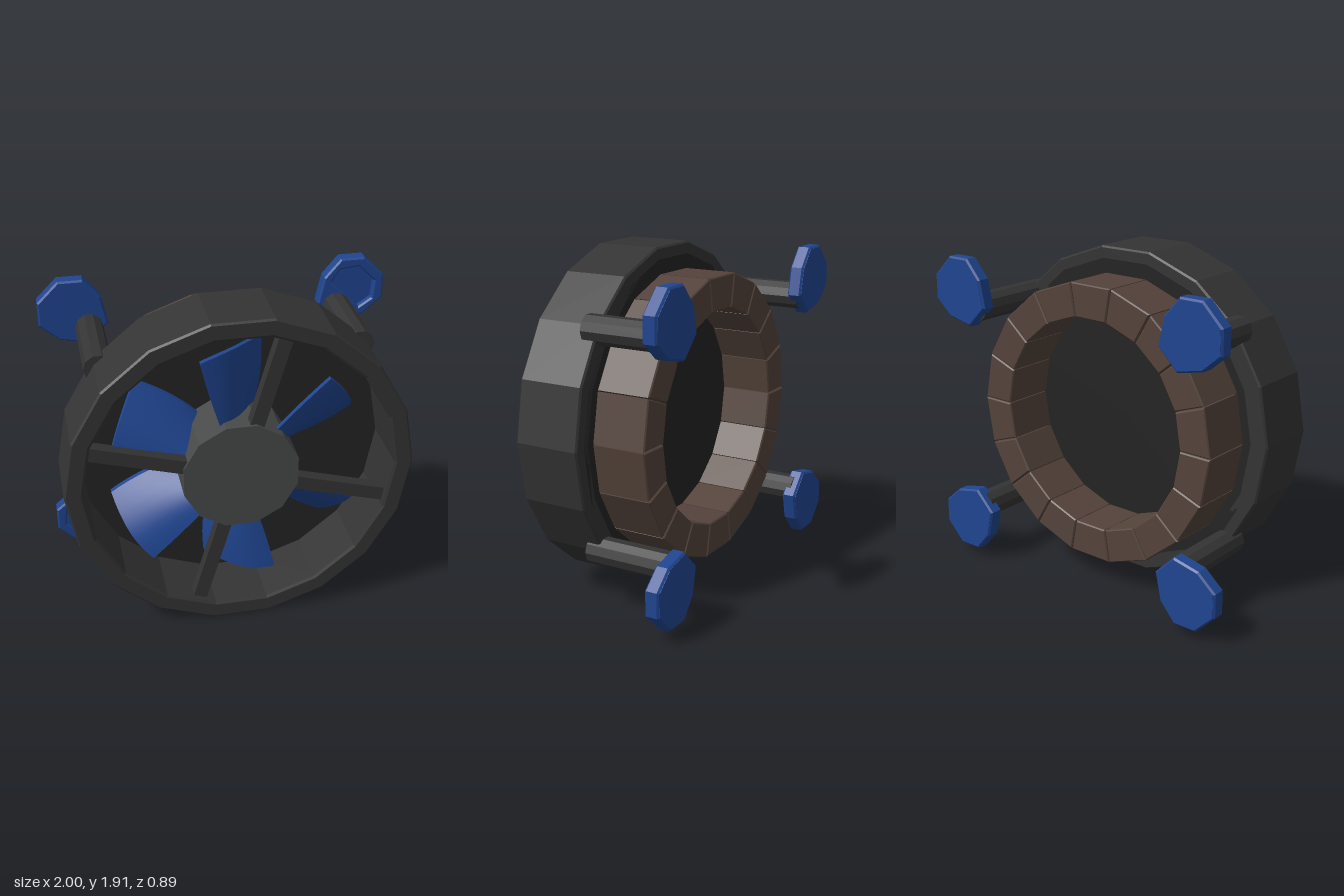
import * as THREE from 'three';

const CY = 0.957; // height of the fan axis
const RAD = Math.PI / 180;

const mat = (color) => new THREE.MeshStandardMaterial({ color, flatShading: true });
const frameMat = mat(0x343434);
const darkMat = mat(0x242424);
const hubMat = mat(0x484a49);
const blueMat = mat(0x1f4590);
const brickMat = mat(0x54433b);
const bladeMat = new THREE.MeshStandardMaterial({ color: 0x1f4590 });

function add(parent, name, geometry, material) {
  const mesh = new THREE.Mesh(geometry, material);
  mesh.name = name;
  parent.add(mesh);
  return mesh;
}

// Cylinder lying along z, from z0 to z1, with its first corner at the given angle
function zCylinder(r, z0, z1, sides, corner = 0) {
  const g = new THREE.CylinderGeometry(r, r, z1 - z0, sides);
  g.rotateX(Math.PI / 2);
  g.rotateZ(Math.PI / 2 + corner);
  g.translate(0, 0, (z0 + z1) / 2);
  return g;
}

// Extrude a shape from z0 to z1, with a chamfer that stays inside the outline
function slab(shape, z0, z1, bevel) {
  const g = new THREE.ExtrudeGeometry(shape, {
    depth: z1 - z0 - 2 * bevel, bevelEnabled: bevel > 0, bevelSize: bevel,
    bevelThickness: bevel, bevelOffset: -bevel, bevelSegments: 1,
  });
  g.translate(0, 0, z0 + bevel);
  return g;
}

// Box bent into a pitched blade: x runs clockwise, y runs outwards
function bladeGeometry() {
  const g = new THREE.BoxGeometry(1, 1, 0.03, 8, 8, 1);
  const p = g.attributes.position;
  for (let i = 0; i < p.count; i++) {
    const u = p.getX(i) + 0.5, v = p.getY(i) + 0.5;
    const a = RAD * THREE.MathUtils.lerp(107 + 3 * (1 - v), 77 - 12 * (1 - v), u);
    const r = 0.26 + 0.465 * v;
    const z = 0.35 - 0.24 * u + 0.05 * Math.sin(Math.PI * u) + p.getZ(i);
    p.setXYZ(i, r * Math.cos(a), r * Math.sin(a), z);
  }
  g.computeVertexNormals();
  return g;
}

// Clamp pad: outline measured inwards from its outer corner
const PAD = [[0, 0.12], [0.12, 0], [0.26, 0], [0.355, 0.11], [0.39, 0.27],
  [0.27, 0.39], [0.11, 0.355], [0, 0.26]];
const RECESS = [[0.055, 0.15], [0.15, 0.055], [0.26, 0.065], [0.31, 0.14],
  [0.14, 0.31], [0.065, 0.26]];

function clamp(sx, sy) {
  const group = new THREE.Group();
  group.name = 'clamp';
  const toPoints = (list, scale = 1) => list.map(([a, b]) => new THREE.Vector2(
    sx * (1 - 0.19 - (a - 0.19) * scale), sy * (0.895 - 0.19 - (b - 0.19) * scale)));
  const rim = new THREE.Shape(toPoints(PAD));
  rim.holes.push(new THREE.Path(toPoints(RECESS)));
  add(group, 'padRim', slab(rim, -0.443, -0.36, 0.01), blueMat);
  add(group, 'padBack', slab(new THREE.Shape(toPoints(PAD, 0.94)), -0.445, -0.4, 0), blueMat);
  const rod = add(group, 'clampRod', zCylinder(0.08, -0.4, 0.14, 10), frameMat);
  rod.position.set(sx * 0.72, sy * 0.61, 0);
  group.position.y = 0.945;
  return group;
}

export function createModel() {
  const model = new THREE.Group();
  model.name = 'wallFan';
  const fan = new THREE.Group();
  fan.name = 'fan';
  fan.position.y = CY;
  model.add(fan);

  // Outer housing: an eighteen-sided ring with chamfered edges
  const profile = [[0.865, 0.06], [0.96, 0.06], [0.97, 0.07], [0.97, 0.435], [0.96, 0.445],
    [0.88, 0.445], [0.865, 0.435], [0.865, 0.06]].map(([r, z]) => new THREE.Vector2(r, z));
  const ring = new THREE.LatheGeometry(profile, 18, Math.PI / 2);
  ring.rotateX(Math.PI / 2);
  add(fan, 'housing', ring, frameMat);
  add(fan, 'backPlate', zCylinder(0.9, 0.06, 0.085, 18), darkMat);

  // Hub and four spokes
  add(fan, 'hub', zCylinder(0.33, 0.08, 0.42, 12, 75 * RAD), hubMat);
  for (let i = 0; i < 4; i++) {
    const g = new THREE.BoxGeometry(0.6, 0.08, 0.07);
    g.translate(0.57, 0, 0.37);
    add(fan, 'spoke', g, frameMat).rotation.z = (74 + 90 * i) * RAD;
  }

  // Six pitched blades
  const blade = bladeGeometry();
  for (let i = 0; i < 6; i++) add(fan, 'blade', blade, bladeMat).rotation.z = i * 60 * RAD;

  // Ring of wedge-shaped bricks behind the housing
  const half = 9.8 * RAD;
  const corner = (r, a) => new THREE.Vector2(r * Math.cos(a), r * Math.sin(a));
  const wedge = new THREE.Shape([corner(0.62, -half), corner(0.815, -half),
    corner(0.815, half), corner(0.62, half)]);
  const brick = slab(wedge, -0.25, 0.07, 0.007);
  for (let i = 0; i < 18; i++) add(fan, 'brick', brick, brickMat).rotation.z = (10.5 + i * 20) * RAD;

  // Clamps at the four corners
  for (const sx of [-1, 1]) for (const sy of [-1, 1]) model.add(clamp(sx, sy));
  return model;
}
